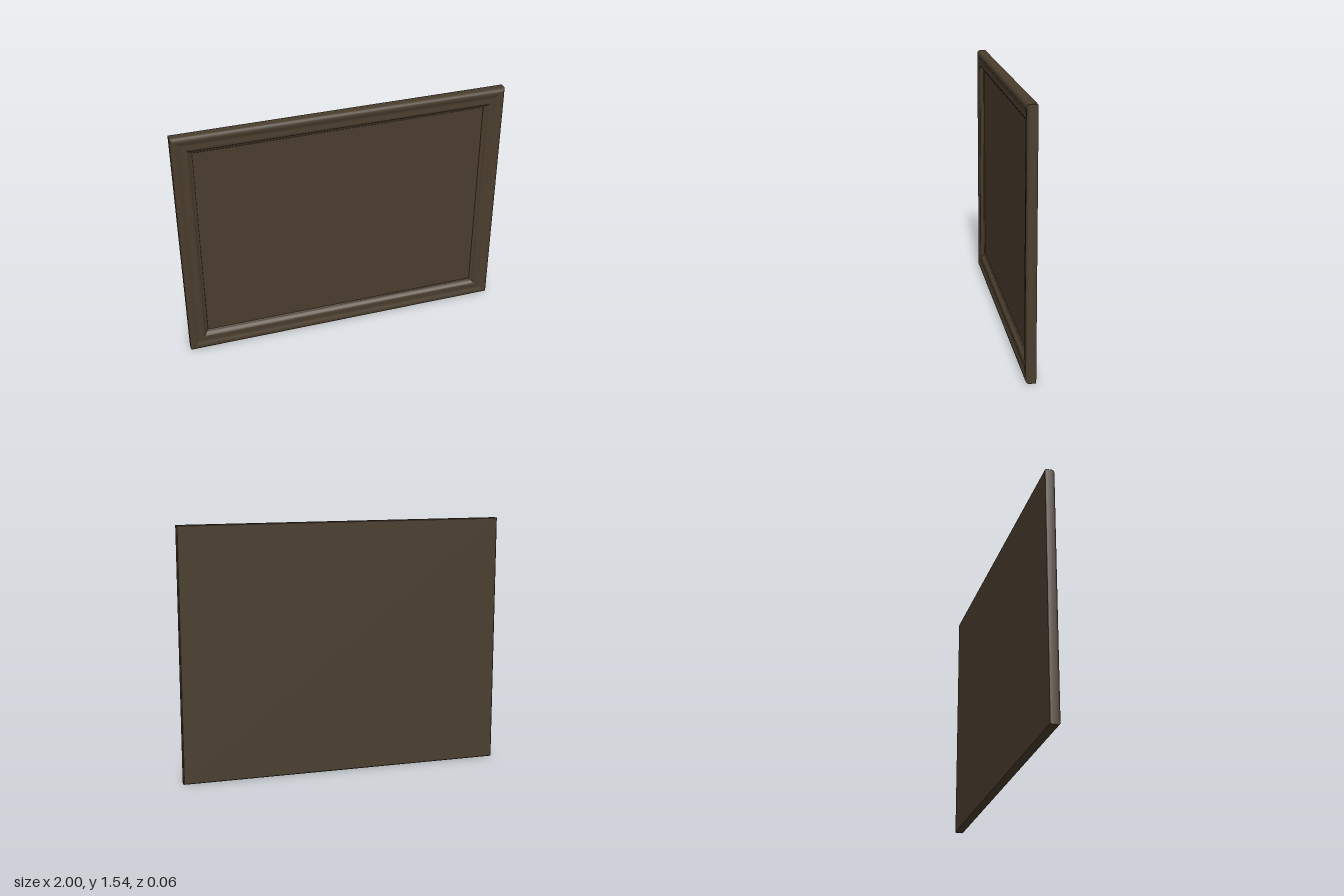
import * as THREE from 'three';

const W = 2, H = 1.54;

// Moulding cross-section: [inset from the outer edge, z], from back to opening
const PROFILE = [
  [0.004, -0.03], [0, -0.026], [0, 0.012], [0.003, 0.021], [0.01, 0.027], [0.02, 0.03],
  [0.032, 0.029], [0.042, 0.025], [0.05, 0.022], [0.062, 0.021], [0.076, 0.023],
  [0.088, 0.023], [0.097, 0.019], [0.103, 0.011], [0.108, 0.005], [0.116, 0.003],
  [0.12, 0.001], [0.121, -0.008],
];

// One mitred rail, running between two corners given as signs
function railGeometry([ax, ay], [bx, by]) {
  const pos = [], index = [];
  for (const [d, z] of PROFILE) {
    for (const [sx, sy] of [[ax, ay], [bx, by]]) {
      pos.push(sx * (W / 2 - d), H / 2 + sy * (H / 2 - d), z);
    }
  }
  for (let i = 0; i < PROFILE.length - 1; i++) {
    const a = i * 2, b = a + 1, c = a + 2, e = a + 3;
    index.push(a, b, c, b, e, c);
  }
  const g = new THREE.BufferGeometry();
  g.setAttribute('position', new THREE.Float32BufferAttribute(pos, 3));
  g.setIndex(index);
  g.computeVertexNormals();
  return g;
}

export function createModel() {
  const model = new THREE.Group();
  model.name = 'pictureFrame';
  const wood = new THREE.MeshStandardMaterial({ color: 0x4a3d2d });
  wood.name = 'dark brown wood';

  // Four rails, counter-clockwise seen from the front
  const corners = [[-1, -1], [1, -1], [1, 1], [-1, 1]];
  ['bottomRail', 'rightRail', 'topRail', 'leftRail'].forEach((name, i) => {
    const rail = new THREE.Mesh(railGeometry(corners[i], corners[(i + 1) % 4]), wood);
    // +x is the model's own left
    rail.name = { rightRail: 'leftRail', leftRail: 'rightRail' }[name] || name;
    model.add(rail);
  });

  // Recessed panel inside the opening
  const panel = new THREE.Mesh(new THREE.PlaneGeometry(W - 0.24, H - 0.24), wood);
  panel.name = 'panel';
  panel.position.set(0, H / 2, -0.004);
  model.add(panel);

  // Flat back
  const back = new THREE.Mesh(new THREE.PlaneGeometry(W - 0.008, H - 0.008), wood);
  back.name = 'backBoard';
  back.rotation.y = Math.PI;
  back.position.set(0, H / 2, -0.03);
  model.add(back);

  return model;
}
